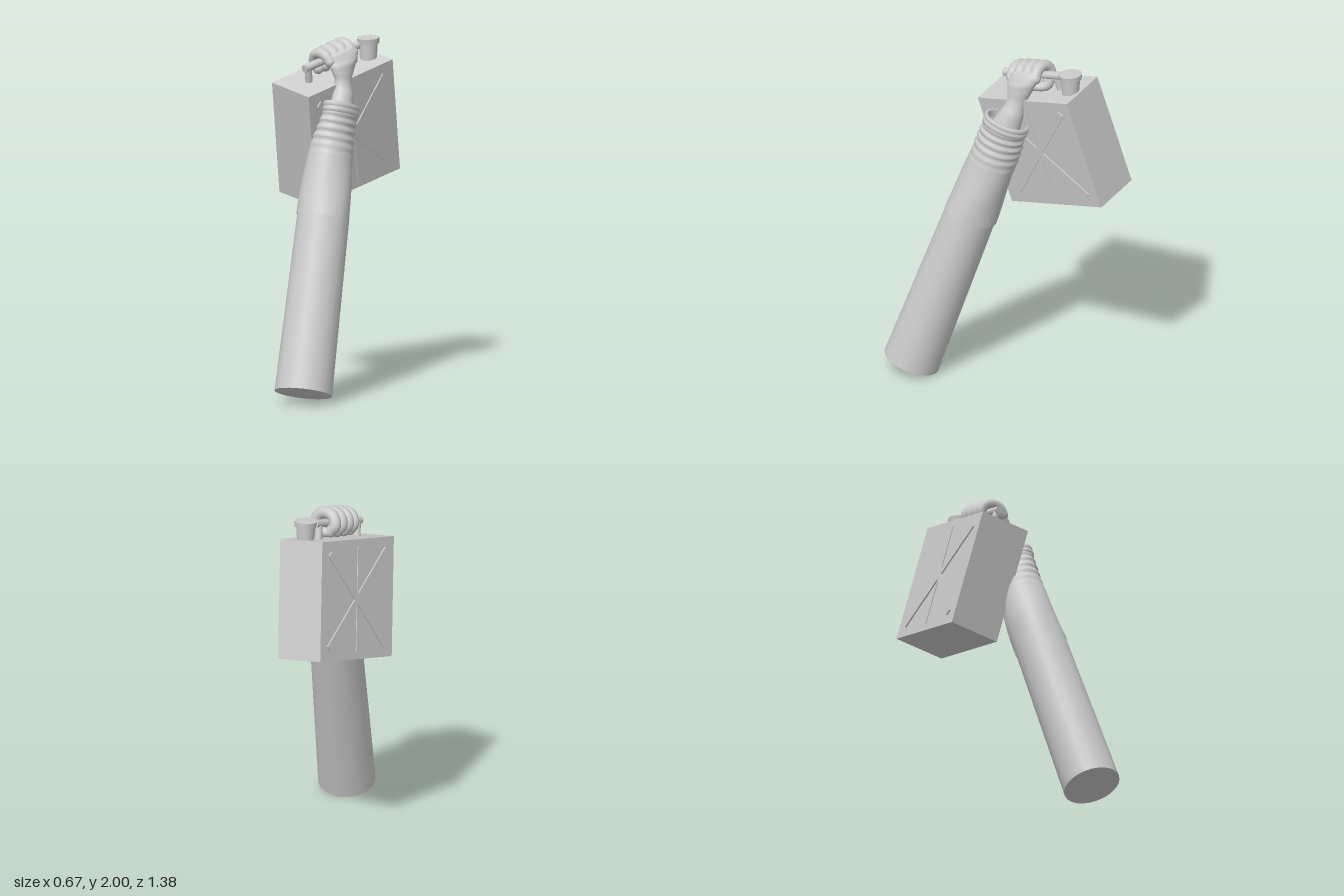
import * as THREE from 'three';

const gray = new THREE.MeshStandardMaterial({ color: 0xcccccc, side: THREE.DoubleSide });
gray.name = 'plain gray';
const V = (x, y, z) => new THREE.Vector3(x, y, z);

function add(parent, name, geometry, x = 0, y = 0, z = 0) {
  const mesh = new THREE.Mesh(geometry, gray);
  mesh.name = name;
  mesh.position.set(x, y, z);
  parent.add(mesh);
  return mesh;
}

// Round bar between two points
function rod(parent, name, from, to, r0, r1 = r0, sides = 20) {
  const axis = to.clone().sub(from);
  const mesh = add(parent, name, new THREE.CylinderGeometry(r1, r0, axis.length(), sides));
  mesh.position.copy(from).add(to).multiplyScalar(0.5);
  mesh.quaternion.setFromUnitVectors(V(0, 1, 0), axis.normalize());
  return mesh;
}

// Skin through elliptical sections [x, y, z, rx, rz, pitch, yaw]; bump(t, angle) scales the radius
function loft(sections, rings, sides, bump = () => 1) {
  const spline = (f) => new THREE.CatmullRomCurve3(sections.map(f));
  const centre = spline((s) => V(s[0], s[1], s[2]));
  const size = spline((s) => V(s[3], s[4], s[5]));
  const turn = spline((s) => V(s[6], 0, 0));
  const pos = [], index = [];
  for (let i = 0; i <= rings; i++) {
    const t = i / rings, c = centre.getPoint(t), s = size.getPoint(t);
    const e = new THREE.Euler(s.z, turn.getPoint(t).x, 0, 'YXZ');
    for (let j = 0; j < sides; j++) {
      const a = (j / sides) * Math.PI * 2, k = bump(t, a);
      const p = V(s.x * k * Math.cos(a), 0, s.y * k * Math.sin(a)).applyEuler(e).add(c);
      pos.push(p.x, p.y, p.z);
      if (i < rings) {
        const n = i * sides, q = n + j, r = n + ((j + 1) % sides);
        index.push(q, q + sides, r, r, q + sides, r + sides);
      }
    }
  }
  const g = new THREE.BufferGeometry();
  g.setAttribute('position', new THREE.Float32BufferAttribute(pos, 3));
  g.setIndex(index);
  g.computeVertexNormals();
  return g;
}

// Bent finger with rounded ends
function finger(parent, name, points, r) {
  const group = new THREE.Group();
  group.name = name;
  parent.add(group);
  const curve = new THREE.CatmullRomCurve3(points);
  add(group, name + 'Tube', new THREE.TubeGeometry(curve, 20, r, 12));
  for (const p of [points[0], points[points.length - 1]]) {
    add(group, name + 'End', new THREE.SphereGeometry(r, 14, 10), p.x, p.y, p.z);
  }
}

export function createModel() {
  const model = new THREE.Group();
  model.name = 'armWithFuelCan';

  // Tilted can, built in its own upright frame
  const can = new THREE.Group();
  can.name = 'fuelCan';
  const X = V(0.945, -0.163, 0.293).normalize();
  const Z = X.clone().cross(V(0.095, 0.956, 0.277)).normalize();
  const Y = Z.clone().cross(X);
  can.quaternion.setFromRotationMatrix(new THREE.Matrix4().makeBasis(X, Y, Z));
  can.position.set(-0.054, 1.478, -0.249);
  model.add(can);
  add(can, 'canBody', new THREE.BoxGeometry(0.306, 0.686, 0.656));

  // Crossed ribs and centre seam on both broad sides
  for (const side of [-1, 1]) {
    for (const lean of [-1, 1]) {
      const rib = add(can, 'crossRib', new THREE.BoxGeometry(0.012, 0.75, 0.04), side * 0.155);
      rib.rotation.x = lean * Math.atan2(0.26, 0.275);
    }
    add(can, 'sideSeam', new THREE.BoxGeometry(0.008, 0.6, 0.008), side * 0.154);
  }

  // Handle bar on two posts
  rod(can, 'handleBar', V(0, 0.432, -0.205), V(0, 0.432, 0.21), 0.023);
  for (const z of [-0.17, 0.182]) rod(can, 'handlePost', V(0, 0.34, z), V(0, 0.43, z), 0.021);

  // Spout leans back so that its cap is level
  add(model, 'spout', new THREE.CylinderGeometry(0.055, 0.046, 0.13, 24), 0.08, 1.89, -0.387);
  const cap = add(model, 'spoutCap', new THREE.CylinderGeometry(0.066, 0.062, 0.032, 28), 0.08, 1.962, -0.387);
  cap.rotation.x = 0.08;

  // Upper arm
  rod(model, 'upperArm', V(0.168, 0.057, 0.535), V(0.11, 1.03, 0.195), 0.165, 0.149, 24);

  // Forearm sleeve with creases gathering toward the wrist
  const sleeve = [
    [0.11, 1.02, 0.198, 0.152, 0.154, -0.34, 0],
    [0.098, 1.17, 0.145, 0.146, 0.146, -0.34, 0],
    [0.092, 1.31, 0.096, 0.132, 0.139, -0.34, 0],
    [0.092, 1.42, 0.055, 0.118, 0.136, -0.34, 0],
    [0.103, 1.52, 0.022, 0.097, 0.133, -0.34, 0],
    [0.112, 1.61, -0.008, 0.086, 0.124, -0.34, 0],
  ];
  add(model, 'sleeve', loft(sleeve, 70, 36, (t, a) => {
    const crease = 0.035 * THREE.MathUtils.smoothstep(t, 0.4, 0.75);
    return 1 + crease * Math.sin(t * 68 + 1.2 * Math.sin(a + 0.5)) + 0.018 * (1 - t) * Math.sin(3 * a + t * 9);
  }));

  // Cuff: two bands around an open end
  const cuff = new THREE.Group();
  cuff.name = 'cuff';
  cuff.position.set(0.112, 1.615, -0.01);
  cuff.rotation.x = -0.3;
  cuff.scale.set(0.69, 1, 1);
  model.add(cuff);
  const band = [[0.122, -0.03], [0.134, -0.027], [0.137, -0.012], [0.133, 0], [0.128, 0.003],
    [0.133, 0.006], [0.136, 0.018], [0.132, 0.032], [0.122, 0.034], [0.114, 0.026], [0.112, -0.02]];
  add(cuff, 'cuffBands', new THREE.LatheGeometry(band.map((p) => new THREE.Vector2(...p)), 36));

  // Wrist widening into the back of the hand
  const hand = [
    [0.112, 1.58, 0, 0.07, 0.088, -0.34, 0],
    [0.1, 1.7, -0.05, 0.058, 0.066, -0.3, 0],
    [0.09, 1.77, -0.07, 0.043, 0.058, -0.1, -0.1],
    [0.085, 1.83, -0.085, 0.045, 0.08, 0.1, -0.25],
    [0.075, 1.89, -0.1, 0.046, 0.104, 0.25, -0.34],
    [0.06, 1.935, -0.105, 0.036, 0.104, 0.25, -0.34],
    [0.055, 1.95, -0.105, 0.004, 0.07, 0.25, -0.34],
  ];
  add(model, 'hand', loft(hand, 42, 28));

  // Fingers wrap over the bar, thumb passes beneath it
  const curl = [[0.086, 0.455], [0.055, 0.483], [0.005, 0.49], [-0.04, 0.465], [-0.052, 0.42], [-0.02, 0.383]];
  [-0.085, -0.026, 0.033, 0.088].forEach((z, i) => {
    const r = [0.034, 0.035, 0.034, 0.03][i];
    finger(can, 'finger', curl.map(([x, y]) => V(x, y, z)), r);
  });
  finger(can, 'thumb', [V(0.095, 0.41, -0.05), V(0.055, 0.39, -0.11), V(0.005, 0.378, -0.1), V(-0.035, 0.382, -0.06)], 0.028);

  return model;
}
